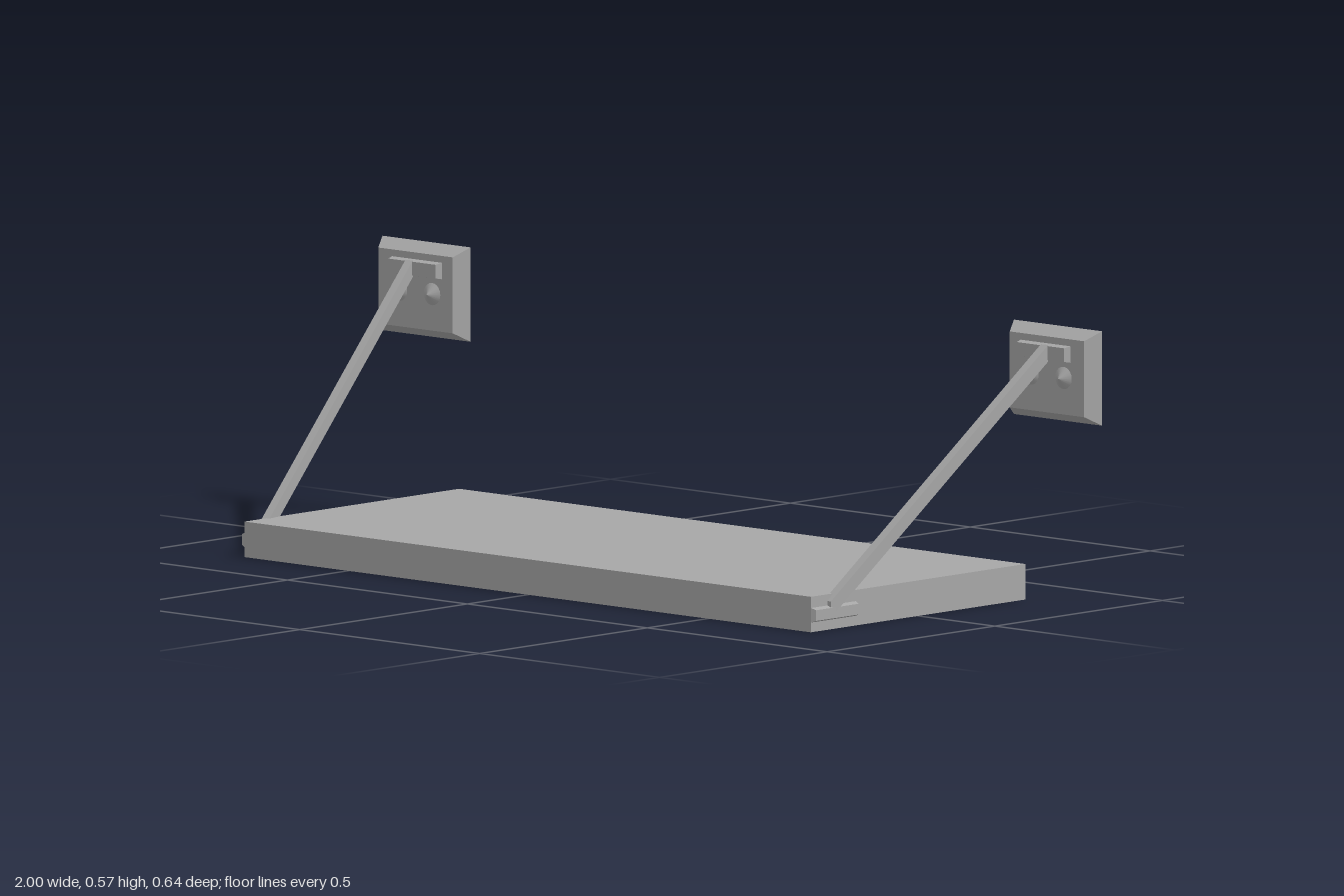
import * as THREE from 'three';

const grey = new THREE.MeshStandardMaterial({ color: 0xa6a6a6, side: THREE.DoubleSide });
grey.name = 'grey';

// Box without a back face whose front (+z) is narrowed by inset on every side
function openBox(name, w, h, d, inset = 0) {
  const geo = new THREE.BoxGeometry(w, h, d);
  geo.setIndex(Array.from(geo.index.array).slice(0, 30)); // the last face is the back
  geo.clearGroups();
  const p = geo.attributes.position;
  for (let i = 0; i < p.count; i++) {
    if (p.getZ(i) > 0) {
      p.setX(i, p.getX(i) - Math.sign(p.getX(i)) * inset);
      p.setY(i, p.getY(i) - Math.sign(p.getY(i)) * inset);
    }
  }
  geo.computeVertexNormals();
  const mesh = new THREE.Mesh(geo, grey);
  mesh.name = name;
  return mesh;
}

// Square bar sheared between two points, with upright ends
function slantedBar(name, from, to, w, h) {
  const geo = new THREE.BoxGeometry(w, h, 1);
  const p = geo.attributes.position;
  const v = new THREE.Vector3();
  for (let i = 0; i < p.count; i++) {
    v.lerpVectors(from, to, 0.5 - p.getZ(i));
    p.setXYZ(i, p.getX(i) + v.x, p.getY(i) + v.y, v.z);
  }
  geo.computeVertexNormals();
  const mesh = new THREE.Mesh(geo, grey);
  mesh.name = name;
  return mesh;
}

export function createModel() {
  const model = new THREE.Group();
  model.name = 'hangingShelf';

  // Hollow shelf, open towards the wall
  const shelf = openBox('shelf', 1.574, 0.073, 0.64);
  shelf.position.y = 0.0365;
  model.add(shelf);

  for (const s of [1, -1]) {
    const side = new THREE.Group();
    side.name = s > 0 ? 'leftSupport' : 'rightSupport';

    // Bevelled wall plate, open at the back
    const plate = openBox('wallPlate', 0.245, 0.194, 0.033, 0.019);
    plate.position.set(s * 0.8775, 0.475, -0.3035);
    side.add(plate);

    // Slot block that holds the top of the bar
    const block = openBox('wallBlock', 0.138, 0.034, 0.015, 0.003);
    block.position.set(s * 0.8735, 0.522, -0.2795);
    side.add(block);

    // Two cone-shaped screw heads
    for (const dx of [-0.046, 0.046]) {
      const screw = new THREE.Mesh(new THREE.ConeGeometry(0.023, 0.016, 20, 1, true), grey);
      screw.name = 'screwHead';
      screw.rotation.x = Math.PI / 2;
      screw.position.set(s * (0.8775 + dx), 0.472, -0.279);
      side.add(screw);
    }

    // Slanted support bar
    side.add(slantedBar('supportBar',
      new THREE.Vector3(s * 0.786, 0.042, 0.27),
      new THREE.Vector3(s * 0.883, 0.521, -0.274), 0.02, 0.034));

    // Bracket on the end of the shelf
    const bracket = openBox('shelfBracket', 0.134, 0.03, 0.011, 0.004);
    bracket.rotation.y = s * Math.PI / 2;
    bracket.position.set(s * 0.7925, 0.035, 0.253);
    side.add(bracket);

    model.add(side);
  }
  return model;
}
